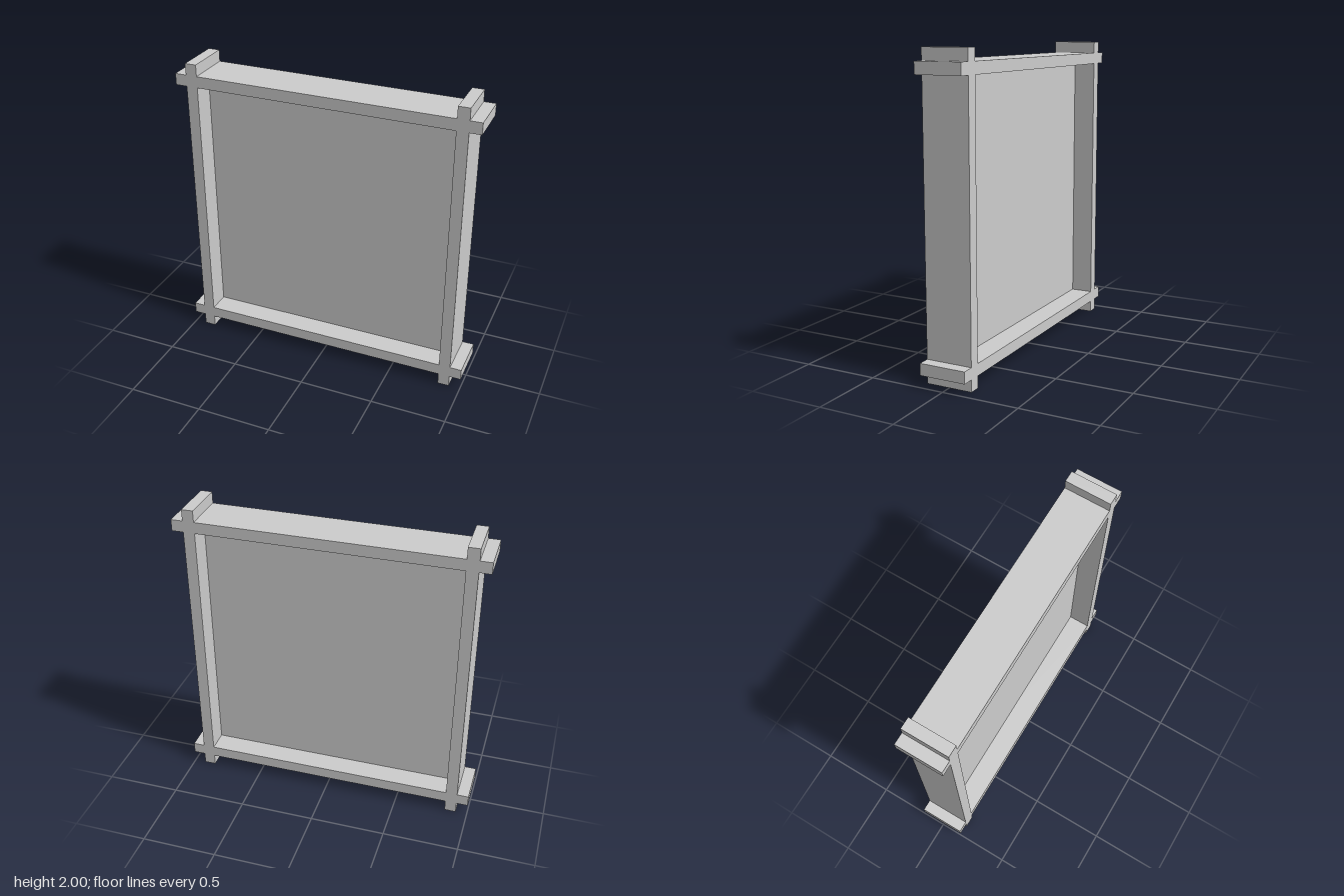
import * as THREE from 'three';

const END = 1;        // beam tips
const OUTER = 0.923;  // outer faces of the beams
const INNER = 0.847;  // inner faces of the beams
const DEPTH = 0.306;
const PANEL = 0.01;

export function createModel() {
  const group = new THREE.Group();
  const material = new THREE.MeshStandardMaterial({ color: 0xcccccc, flatShading: true });

  // Frame: four crossed beams with protruding ends, one corner turned four times
  const corner = [
    [OUTER, INNER], [END, INNER], [END, OUTER], [OUTER, OUTER],
    [OUTER, END], [INNER, END], [INNER, OUTER],
  ];
  const outline = [];
  for (let i = 0; i < 4; i++) {
    for (const [x, y] of corner) {
      outline.push(new THREE.Vector2(x, y).rotateAround(new THREE.Vector2(), i * Math.PI / 2));
    }
  }
  const shape = new THREE.Shape(outline);
  shape.holes.push(new THREE.Path([
    new THREE.Vector2(-INNER, -INNER), new THREE.Vector2(-INNER, INNER),
    new THREE.Vector2(INNER, INNER), new THREE.Vector2(INNER, -INNER),
  ]));
  const frameGeometry = new THREE.ExtrudeGeometry(shape, { depth: DEPTH, bevelEnabled: false });
  frameGeometry.translate(0, 0, -DEPTH / 2);
  const frame = new THREE.Mesh(frameGeometry, material);
  frame.name = 'crossedBeamFrame';
  frame.position.y = 1;

  // Thin panel set halfway through the frame
  const panel = new THREE.Mesh(new THREE.BoxGeometry(2 * INNER, 2 * INNER, PANEL), material);
  panel.name = 'centrePanel';
  panel.position.y = 1;

  group.add(frame, panel);
  return group;
}
